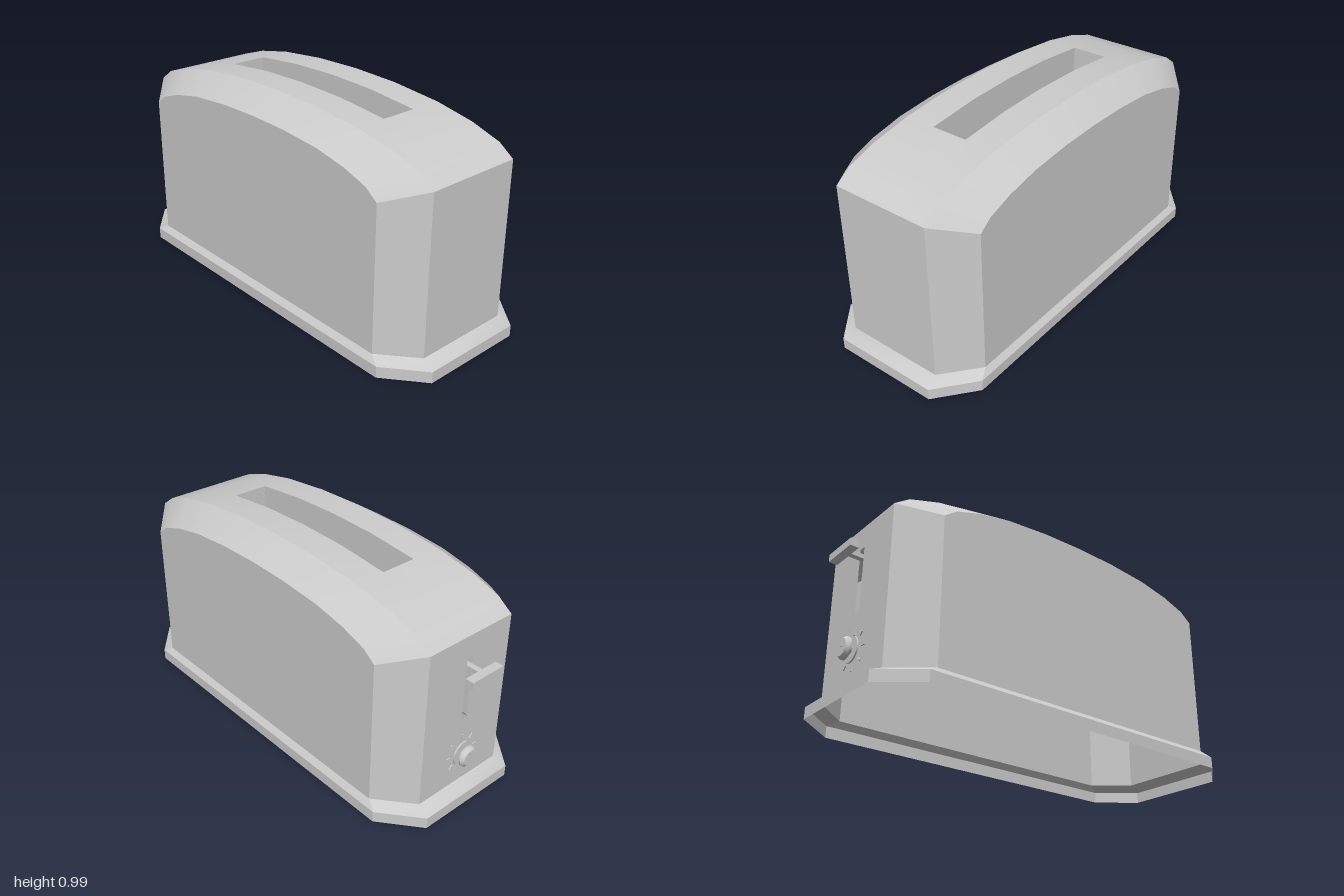
import * as THREE from 'three';
import { toCreasedNormals } from 'three/addons/utils/BufferGeometryUtils.js';

const mat = new THREE.MeshStandardMaterial({ color: 0xcccccc, side: THREE.DoubleSide });

function add(parent, name, geo) {
  const mesh = new THREE.Mesh(geo, mat);
  mesh.name = name;
  parent.add(mesh);
  return mesh;
}

// collects quads, corners counter-clockwise from outside
class Quads {
  constructor() { this.pos = []; }
  quad(a, b, c, d) { this.pos.push(...a, ...b, ...c, ...a, ...c, ...d); }
  // the quad and its copy mirrored front to back
  both(...q) {
    this.quad(...q);
    this.quad(...q.map(([x, y, z]) => [x, y, -z]).reverse());
  }
  build(crease = 0.45) {
    const g = new THREE.BufferGeometry();
    g.setAttribute('position', new THREE.Float32BufferAttribute(this.pos, 3));
    return toCreasedNormals(g, crease);
  }
}

// half sizes of the eight-sided plan: full length/depth and where the corners are cut
const HX = 0.918, EX = 0.757, HZ = 0.372, EZ = 0.237;
const FLOOR = 0.08, SLOT_X = 0.505, SLOT_Z = 0.087, SLOT_BOTTOM = 0.45;

// half of the arched roof: x, ridge height, height of the side wall below it
const half = [
  [HX, 0.82, 0.76], [0.845, 0.872, 0.805], [0.70, 0.919, 0.845],
  [SLOT_X, 0.956, 0.877], [0.25, 0.98, 0.895], [0, 0.987, 0.90],
];
const arch = [...half.map(([x, y, s]) => [-x, y, s]), ...half.slice(0, -1).reverse()]
  .map(([x, y, sy]) => ({ x, y, sx: x * EX / HX, sy }));

function octagon(hx, ex, hz, ez, y) {
  return [[hx, ez], [hx, -ez], [ex, -hz], [-ex, -hz], [-hx, -ez], [-hx, ez], [-ex, hz], [ex, hz]]
    .map(([x, z]) => [x, y, z]);
}

function baseGeometry() {
  const q = new Quads();
  const rings = [
    octagon(0.98, 0.805, 0.395, 0.252, 0),
    octagon(0.98, 0.805, 0.395, 0.252, 0.053),
    octagon(HX, EX, HZ, EZ, FLOOR),
  ];
  for (let r = 0; r < 2; r++) {
    for (let i = 0; i < 8; i++) {
      const j = (i + 1) % 8;
      q.quad(rings[r][i], rings[r][j], rings[r + 1][j], rings[r + 1][i]);
    }
  }
  return q.build();
}

function shellGeometry() {
  const q = new Quads();
  for (let i = 0; i < arch.length - 1; i++) {
    const a = arch[i], b = arch[i + 1];
    // long wall, sloping shoulder, roof band
    q.both([a.sx, FLOOR, HZ], [b.sx, FLOOR, HZ], [b.sx, b.sy, HZ], [a.sx, a.sy, HZ]);
    q.both([a.sx, a.sy, HZ], [b.sx, b.sy, HZ], [b.x, b.y, EZ], [a.x, a.y, EZ]);
    q.both([a.x, a.y, EZ], [b.x, b.y, EZ], [b.x, b.y, SLOT_Z], [a.x, a.y, SLOT_Z]);
    // roof beyond the ends of the bread slot
    if (Math.abs(a.x + b.x) / 2 > SLOT_X) {
      q.both([a.x, a.y, SLOT_Z], [b.x, b.y, SLOT_Z], [b.x, b.y, 0], [a.x, a.y, 0]);
    }
  }
  // cut corners and the plain end wall
  q.both([EX, FLOOR, HZ], [HX, FLOOR, EZ], [HX, 0.82, EZ], [EX, 0.76, HZ]);
  q.both([-HX, FLOOR, EZ], [-EX, FLOOR, HZ], [-EX, 0.76, HZ], [-HX, 0.82, EZ]);
  q.quad([HX, FLOOR, EZ], [HX, FLOOR, -EZ], [HX, 0.82, -EZ], [HX, 0.82, EZ]);
  return q.build();
}

// open chute under the slot
function chuteGeometry() {
  const q = new Quads(), S = SLOT_X, Z = SLOT_Z, B = SLOT_BOTTOM, T = 0.956;
  for (let i = 0; i < arch.length - 1; i++) {
    const a = arch[i], b = arch[i + 1];
    if (Math.abs(a.x + b.x) / 2 > S) continue;
    q.both([b.x, B, Z], [a.x, B, Z], [a.x, a.y, Z], [b.x, b.y, Z]);
  }
  q.quad([S, B, -Z], [S, B, Z], [S, T, Z], [S, T, -Z]);
  q.quad([-S, B, Z], [-S, B, -Z], [-S, T, -Z], [-S, T, Z]);
  return q.build();
}

// end wall with the lever slit and the knob's shaft hole
function controlWallGeometry(knobY) {
  const rect = (Type, w, y0, y1) => new Type([[-w, y0], [w, y0], [w, y1], [-w, y1]]
    .map(([x, y]) => new THREE.Vector2(x, y)));
  const shape = rect(THREE.Shape, EZ, FLOOR, 0.82);
  shape.holes.push(rect(THREE.Path, 0.016, 0.41, 0.715));
  shape.holes.push(new THREE.Path().absarc(0, knobY, 0.018, 0, Math.PI * 2, true));
  return new THREE.ShapeGeometry(shape, 16).rotateY(-Math.PI / 2).translate(-HX, 0, 0);
}

export function createModel() {
  const model = new THREE.Group();
  model.name = 'toaster';
  const body = new THREE.Group();
  body.name = 'body';
  body.position.x = 0.02;
  model.add(body);

  const knobY = 0.235;
  add(body, 'base', baseGeometry());
  add(body, 'shell', shellGeometry());
  add(body, 'breadSlot', chuteGeometry());
  add(body, 'controlWall', controlWallGeometry(knobY));

  // lever: thin stem through the slit and a wide handle
  const lever = new THREE.Group();
  lever.name = 'lever';
  lever.position.set(-HX, 0.67, 0);
  body.add(lever);
  add(lever, 'leverStem', new THREE.BoxGeometry(0.09, 0.02, 0.026)).position.x = -0.025;
  add(lever, 'leverHandle', new THREE.BoxGeometry(0.04, 0.035, 0.18)).position.set(-0.082, 0, -0.005);

  // knob turned about the x axis
  const knob = new THREE.Group();
  knob.name = 'knob';
  knob.position.set(-HX, knobY, 0);
  body.add(knob);
  const profile = [[0, 0], [0.013, 0], [0.013, 0.01], [0.058, 0.01], [0.058, 0.017],
    [0.022, 0.017], [0.022, 0.028], [0.05, 0.034], [0.05, 0.042], [0.038, 0.056], [0, 0.056]]
    .map(([r, d]) => new THREE.Vector2(r, d));
  const dial = toCreasedNormals(new THREE.LatheGeometry(profile, 20), 0.5);
  add(knob, 'dial', dial.rotateZ(Math.PI / 2));
  add(knob, 'pointer', new THREE.BoxGeometry(0.005, 0.032, 0.008)).position.set(-0.057, 0.018, 0);

  // scale marks around the knob
  for (let i = 0; i < 8; i++) {
    const tick = add(knob, 'scaleMark', new THREE.BoxGeometry(0.006, 0.024, 0.007).translate(0, 0.08, 0));
    tick.position.x = -0.002;
    tick.rotation.x = (i * Math.PI) / 4;
  }
  return model;
}
